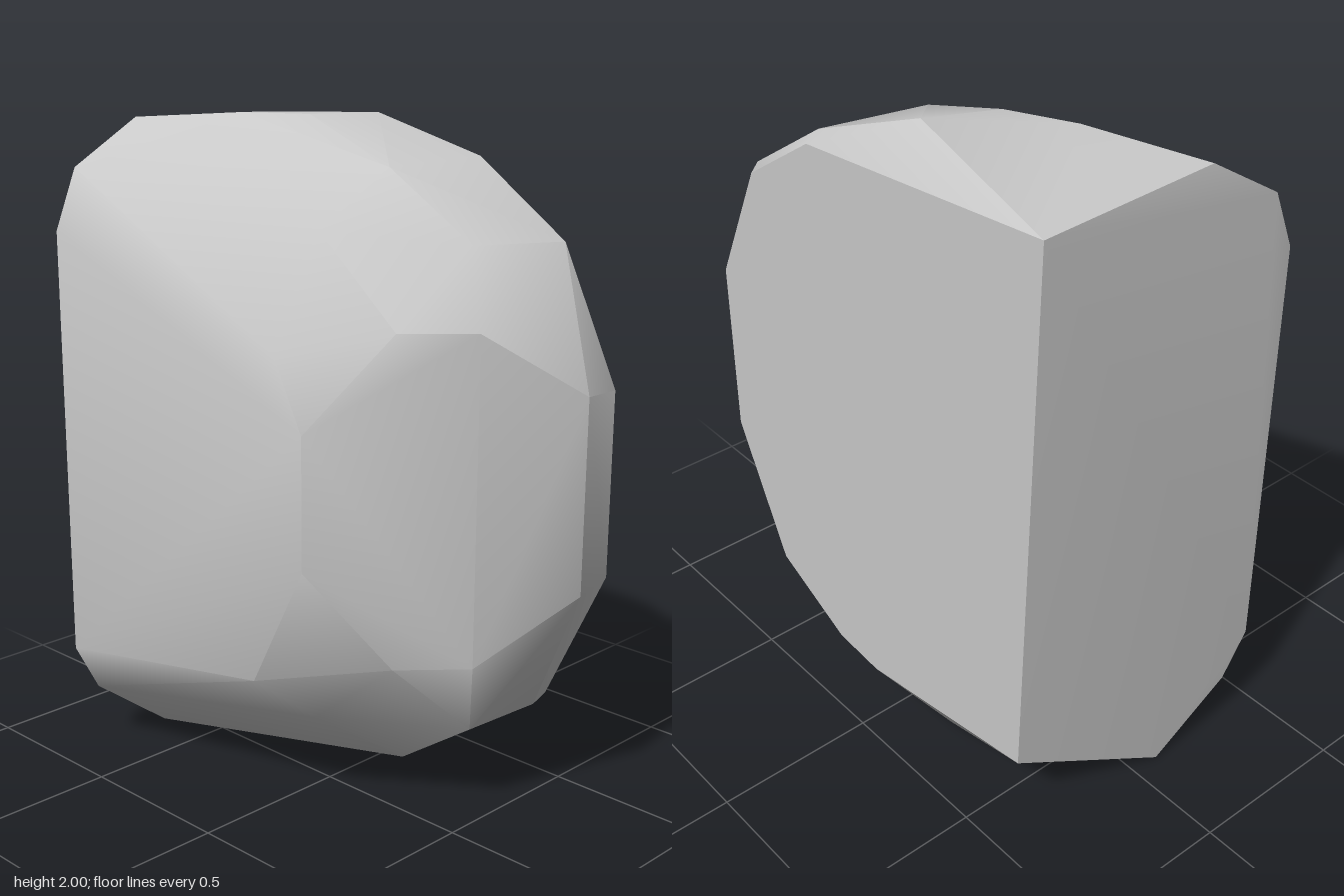
import * as THREE from 'three';
import { ConvexGeometry } from 'three/addons/geometries/ConvexGeometry.js';
import { toCreasedNormals } from 'three/addons/utils/BufferGeometryUtils.js';

const stone = new THREE.MeshStandardMaterial({ color: 0xc8c8c8 });
stone.name = 'grey stone';

// Corner rings of the boulder, each point [x, y, z]
const flatSide = [
  [-0.69, 1.96, -0.417], [-0.69, 1.975, 0.13], [-0.72, 1.84, 0.34], [-0.72, 1.66, 0.415],
  [-0.72, 0.34, 0.415], [-0.71, 0.19, 0.34], [-0.69, 0, 0.09], [-0.63, 0.27, -0.417],
];
const backFace = [
  [0.23, 1.86, -0.417], [0.51, 1.67, -0.417], [0.7, 1.28, -0.417], [0.7, 0.73, -0.417],
  [0.5, 0.31, -0.417], [0.21, 0.17, -0.417], [0.03, 0.155, -0.417],
];
const roundRim = [
  [0.23, 1.89, -0.375], [0.54, 1.68, -0.375], [0.72, 1.29, -0.27],
  [0.72, 0.715, -0.27], [0.5, 0.29, -0.36], [0.23, 0.12, -0.36],
];
const slantFace = [
  [0.22, 1.2, 0.33], [0.4, 1.48, 0.155], [0.56, 1.48, 0],
  [0.22, 0.81, 0.33], [0.4, 0.525, 0.155], [0.56, 0.53, 0],
];
const crown = [
  [-0.08, 2, -0.28], [-0.17, 2, -0.09], [-0.36, 2, 0],
  [0.18, 1.88, -0.05], [0.45, 1.69, -0.09], [0.12, 1.72, 0.16], [0.11, 1.4, 0.325],
];
const underside = [
  [-0.2, 0.035, -0.31], [0, 0.06, -0.15], [0.23, 0.12, -0.08],
  [0.48, 0.29, -0.09], [0.12, 0.3, 0.18], [0.02, 0.43, 0.33],
];

export function createModel() {
  const group = new THREE.Group();
  group.name = 'rock';

  const points = [flatSide, backFace, roundRim, slantFace, crown, underside]
    .flat().map(p => new THREE.Vector3(...p));

  // Faceted hull, softened across the shallow edges
  const boulder = new THREE.Mesh(toCreasedNormals(new ConvexGeometry(points), 0.55), stone);
  boulder.name = 'boulder';
  group.add(boulder);
  return group;
}
